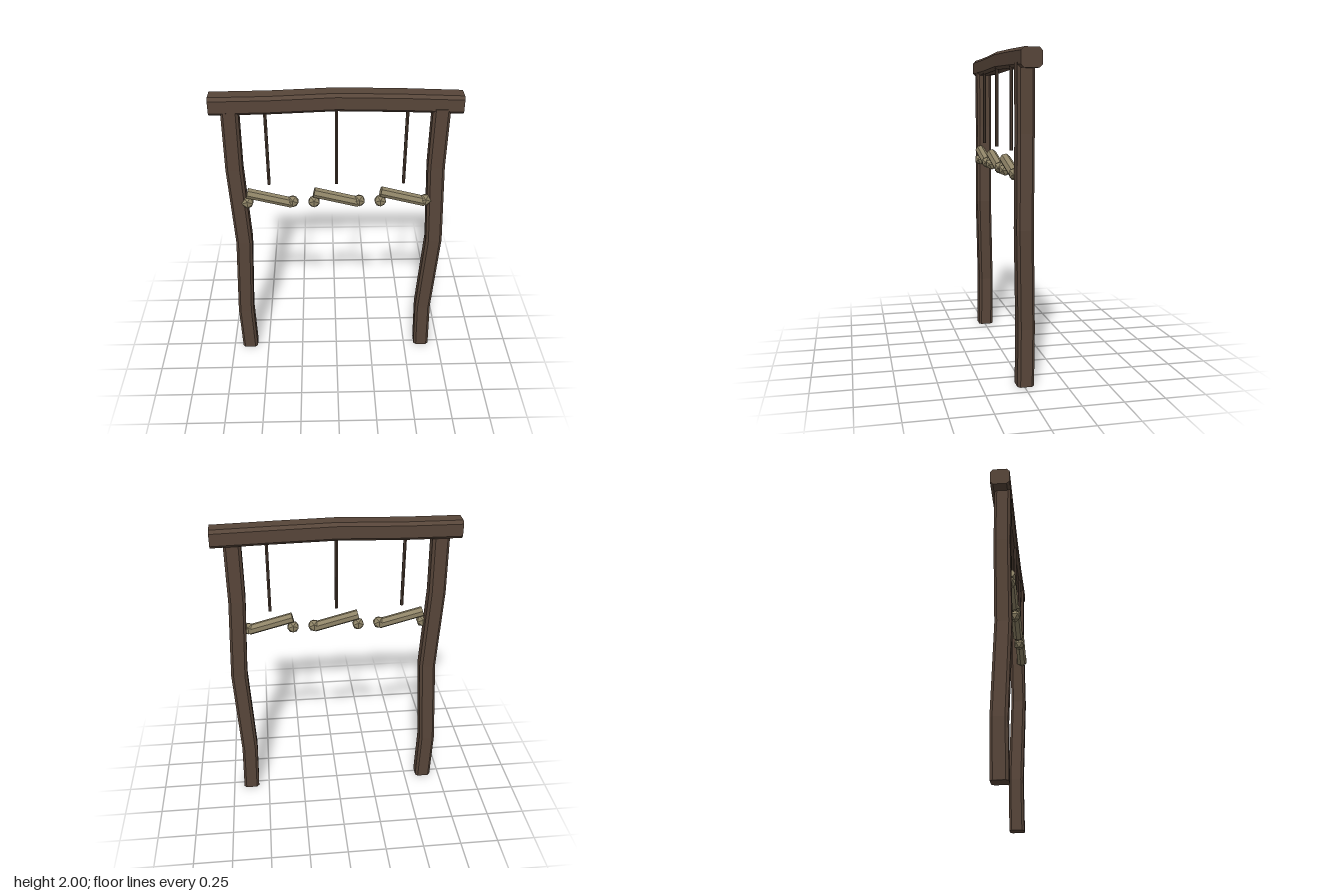
import * as THREE from 'three';

// Corners of a bevelled rectangle, counter-clockwise
function bevelRing(a, b, c) {
  return [[a, -b + c], [a, b - c], [a - c, b], [-a + c, b], [-a, b - c], [-a, -b + c], [-a + c, -b], [a - c, -b]];
}

// Hewn timber: bevelled rings joined along a crooked line, with closed ends
function timber(sections, place) {
  const rings = sections.map(s => bevelRing(s.a, s.b, s.c).map(([u, v]) => place(s.at, u, v)));
  const pos = [];
  const tri = (...pts) => pts.forEach(p => pos.push(...p));
  const n = rings[0].length;
  for (let k = 0; k < rings.length - 1; k++) {
    for (let i = 0; i < n; i++) {
      const j = (i + 1) % n, lo = rings[k], hi = rings[k + 1];
      tri(lo[i], lo[j], hi[j]);
      tri(lo[i], hi[j], hi[i]);
    }
  }
  const first = rings[0], last = rings[rings.length - 1];
  for (let i = 1; i < n - 1; i++) {
    tri(first[0], first[i + 1], first[i]);
    tri(last[0], last[i], last[i + 1]);
  }
  const g = new THREE.BufferGeometry();
  g.setAttribute('position', new THREE.Float32BufferAttribute(pos, 3));
  g.computeVertexNormals();
  return g;
}

function flat(geometry) {
  const g = geometry.index ? geometry.toNonIndexed() : geometry;
  g.computeVertexNormals();
  return g;
}

export function createModel() {
  const model = new THREE.Group();
  model.name = 'hangingBoneFrame';

  const wood = new THREE.MeshStandardMaterial({ color: 0x574539 });
  wood.name = 'dark wood';
  const cord = new THREE.MeshStandardMaterial({ color: 0x4a3b31 });
  cord.name = 'cord brown';
  const bone = new THREE.MeshStandardMaterial({ color: 0x8f8467 });
  bone.name = 'old bone';

  const add = (parent, geometry, material, name, x = 0, y = 0, z = 0) => {
    const m = new THREE.Mesh(geometry, material);
    m.name = name;
    m.position.set(x, y, z);
    parent.add(m);
    return m;
  };

  // Crooked posts: height, x bend, z bend
  const postLine = [[0, -0.003, -0.009], [0.35, -0.012, -0.014], [0.95, 0.02, 0.004], [1.5, -0.005, -0.004], [1.9, -0.002, -0.001]];
  const postGeometry = timber(
    postLine.map(([y, x, z]) => ({ at: [x, y, z], a: 0.051, b: 0.053, c: 0.016 })),
    ([x, y, z], u, v) => [x + v, y, z + u]
  );
  add(model, postGeometry, wood, 'rightPost', -0.631);
  add(model, postGeometry, wood, 'leftPost', 0.629);

  // Crossbeam, bowed upwards in the middle: x, y, z
  const beamLine = [[-0.755, 1.926, -0.011], [-0.4, 1.929, -0.014], [0, 1.943, -0.018], [0.4, 1.934, -0.017], [0.755, 1.922, -0.011]];
  add(model, timber(
    beamLine.map(at => ({ at, a: 0.057, b: 0.062, c: 0.019 })),
    ([x, y, z], u, v) => [x, y + u, z + v]
  ), wood, 'crossbeam');

  // Cords, each with a bone below
  const cordGeometry = flat(new THREE.CylinderGeometry(0.011, 0.011, 0.51, 6));
  const shaftGeometry = flat(new THREE.CylinderGeometry(0.034, 0.034, 0.295, 7));
  const knobGeometry = flat(new THREE.IcosahedronGeometry(0.042, 0));
  [-0.424, 0, 0.424].forEach((x, i) => {
    add(model, cordGeometry, cord, 'cord' + (i + 1), x, 1.645, 0.028);

    const group = new THREE.Group();
    group.name = 'bone' + (i + 1);
    group.position.set(x, 1.293, 0.035);
    const shaft = add(group, shaftGeometry, bone, 'shaft');
    shaft.rotation.z = Math.PI / 2 - 0.26;
    add(group, knobGeometry, bone, 'lowerKnob', -0.143, -0.031);
    add(group, knobGeometry, bone, 'endKnob', 0.145, -0.028);
    model.add(group);
  });

  return model;
}
